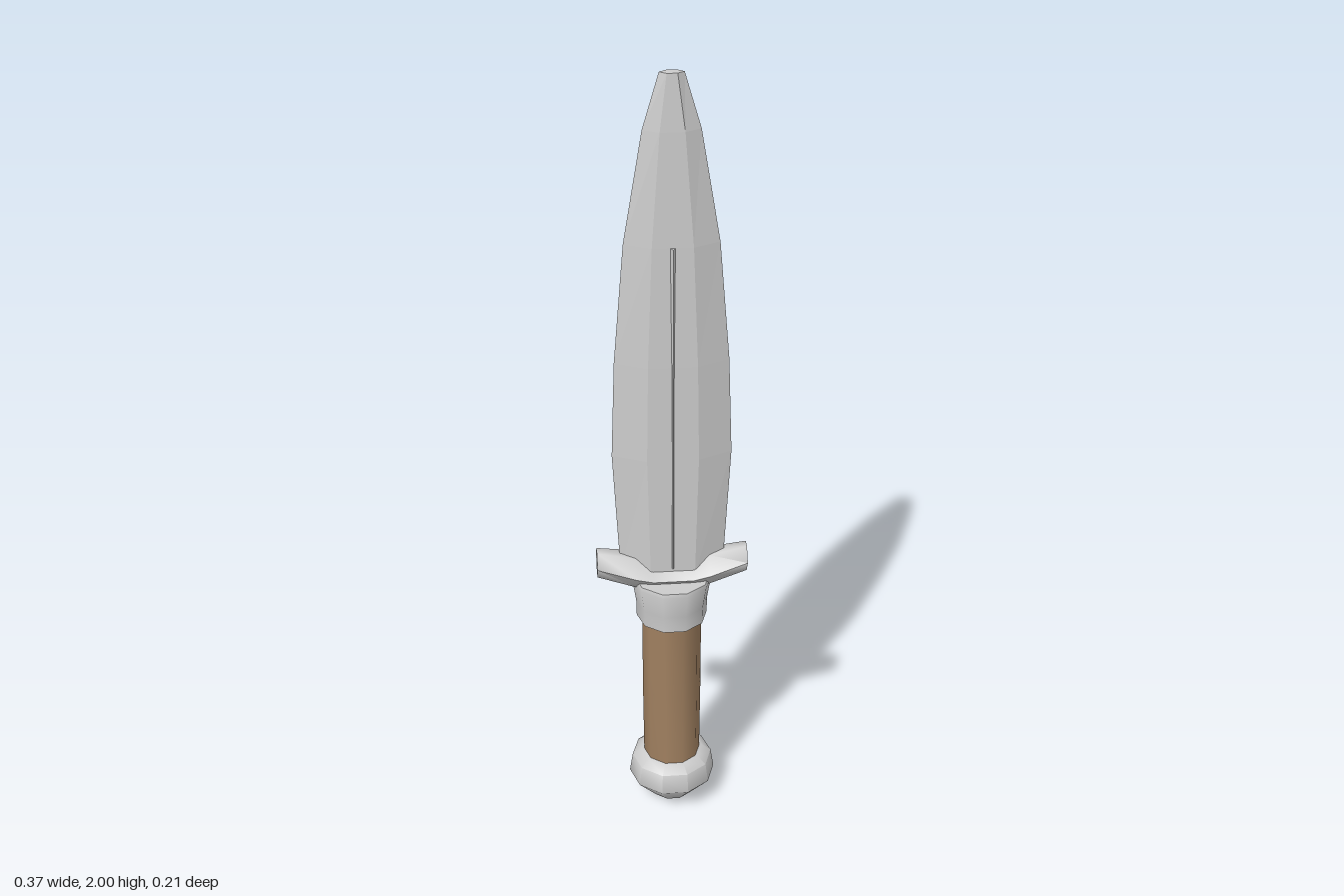
import * as THREE from 'three';
import { toCreasedNormals } from 'three/addons/utils/BufferGeometryUtils.js';

// Skin a list of equal-sized closed rings (arrays of [x, y, z]) and cap both ends.
function loft(rings) {
  const n = rings[0].length;
  const index = [];
  for (let r = 0; r < rings.length - 1; r++) {
    for (let i = 0; i < n; i++) {
      const a = r * n + i, b = r * n + (i + 1) % n;
      index.push(a, b, b + n, a, b + n, a + n);
    }
  }
  const last = (rings.length - 1) * n;
  for (let i = 1; i < n - 1; i++) {
    index.push(0, i + 1, i, last, last + i, last + i + 1);
  }
  const geo = new THREE.BufferGeometry();
  geo.setAttribute('position', new THREE.Float32BufferAttribute(rings.flat(2), 3));
  geo.setIndex(index);
  return geo;
}

// Ten-sided turned part with a corner on the x axis.
function turned(points) {
  const geo = new THREE.LatheGeometry(points.map(([r, y]) => new THREE.Vector2(r, y)), 10);
  geo.rotateY(Math.PI / 2);
  return toCreasedNormals(geo, 0.85);
}

export function createModel() {
  const model = new THREE.Group();
  model.name = 'dagger';
  const metal = new THREE.MeshStandardMaterial({ color: 0xcccccc });
  const bladeMetal = new THREE.MeshStandardMaterial({ color: 0xcccccc, flatShading: true });
  const leather = new THREE.MeshStandardMaterial({ color: 0xa08060 });

  const add = (name, geometry, material) => {
    const mesh = new THREE.Mesh(geometry, material);
    mesh.name = name;
    model.add(mesh);
    return mesh;
  };

  // Pommel, grip and flared collar
  add('pommel', turned([[0, 0], [0.055, 0.01], [0.112, 0.075], [0.104, 0.128], [0.08, 0.146], [0, 0.146]]), metal);
  add('grip', turned([[0, 0.13], [0.073, 0.13], [0.075, 0.36], [0.075, 0.59], [0, 0.59]]), leather);
  add('collar', turned([[0, 0.58], [0.089, 0.58], [0.09, 0.625], [0.1, 0.69], [0.097, 0.7], [0, 0.7]]), metal);

  // Crossguard: six-sided bar that lifts toward its ends; [x, centre y, half height, half depth]
  const half = [[0.187, 0.745, 0.034, 0.037], [0.092, 0.722, 0.041, 0.055], [0.05, 0.712, 0.036, 0.055]];
  const stations = [...half.map(([x, ...s]) => [-x, ...s]), ...half.slice().reverse()];
  const guard = loft(stations.map(([x, y, h, d]) =>
    [[1, 0.35], [1, -0.35], [0, -1], [-1, -0.45], [-1, 0.45], [0, 1]].map(([u, v]) => [x, y + u * h, v * d])
      .reverse()));
  // Ring order must turn counter-clockwise around +x
  add('guard', toCreasedNormals(guard, 1.2), metal);

  // Blade: six-sided section narrowing to a blunt tip; [y, half width, half thickness]
  const sections = [
    [0.72, 0.128, 0.036], [1.05, 0.145, 0.037], [1.3, 0.136, 0.035],
    [1.6, 0.111, 0.03], [1.87, 0.066, 0.021], [2, 0.028, 0.012],
  ];
  add('blade', loft(sections.map(([y, w, t]) => {
    const f = w * 0.43;
    return [[w, y, 0], [f, y, -t], [-f, y, -t], [-w, y, 0], [-f, y, t], [f, y, t]];
  })), bladeMetal);

  // Slim three-sided rib along the middle of each blade face
  for (const [side, name] of [[1, 'frontRib'], [-1, 'backRib']]) {
    const rib = loft([0.74, 1.6].map((y) => [[0.007, y, 0.028], [-0.007, y, 0.028], [0, y, 0.04]]));
    if (side < 0) rib.rotateY(Math.PI);
    add(name, rib, bladeMetal);
  }
  return model;
}
